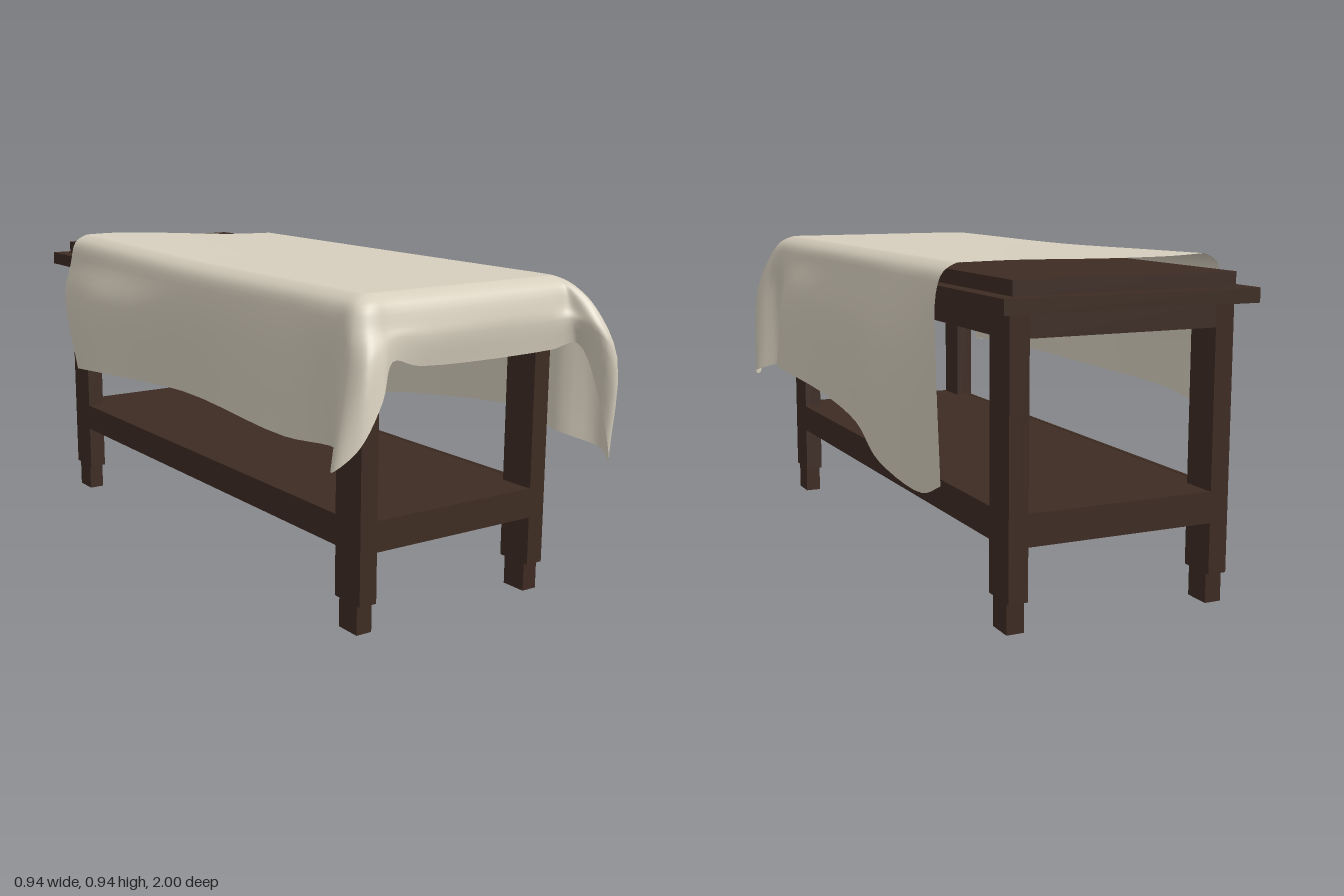
import * as THREE from 'three';
import { mergeGeometries } from 'three/addons/utils/BufferGeometryUtils.js';

const wood = new THREE.MeshStandardMaterial({ color: 0x3d2b22 });
wood.name = 'dark wood';
const linen = new THREE.MeshStandardMaterial({ color: 0xd6cebd, side: THREE.DoubleSide });
linen.name = 'cream linen';

// Box given by its min and max on each axis
function box(name, x0, x1, y0, y1, z0, z1) {
  const mesh = new THREE.Mesh(new THREE.BoxGeometry(x1 - x0, y1 - y0, z1 - z0), wood);
  mesh.position.set((x0 + x1) / 2, (y0 + y1) / 2, (z0 + z1) / 2);
  mesh.name = name;
  return mesh;
}

function createTable() {
  const table = new THREE.Group();
  table.name = 'table';
  const X0 = -0.315, X1 = 0.34, Z0 = -0.95, Z1 = 0.815, LX = 0.055, LZ = 0.112, T = 0.012;

  // Stepped tabletop
  table.add(box('tabletopLower', -0.36, 0.38, 0.82, 0.86, -1, 0.865));
  table.add(box('tabletopUpper', X0, 0.335, 0.86, 0.9, -0.955, 0.82));

  // Legs with narrower feet
  for (const x of [X0, X1 - LX]) {
    for (const z of [Z0, Z1 - LZ]) {
      table.add(box('leg', x, x + LX, 0.085, 0.82, z, z + LZ));
      table.add(box('foot', x + 0.003, x + LX - 0.003, 0, 0.085, z + 0.016, z + LZ - 0.016));
    }
  }

  // Upper aprons and lower rails, flush with the legs
  for (const [name, y0, y1] of [['apron', 0.755, 0.82], ['rail', 0.228, 0.315]]) {
    for (const x of [X0, X1 - T]) table.add(box(name + 'Side', x, x + T, y0, y1, Z0 + LZ, Z1 - LZ));
    for (const z of [Z0, Z1 - T]) table.add(box(name + 'End', X0 + LX, X1 - LX, y0, y1, z, z + T));
  }

  // Thin shelf between the rails
  table.add(box('shelf', X0 + T, X1 - T, 0.3, 0.314, Z0 + T, Z1 - T));
  return table;
}

// Folds of the cloth: x, z halfway down, then x, y, z of the hem
const FOLDS = [
  // left side, back to front
  [-0.41, -0.8, -0.4, 0.48, -0.735],
  [-0.425, -0.5, -0.43, 0.51, -0.48],
  [-0.395, 0, -0.385, 0.53, 0],
  [-0.4, 0.6, -0.41, 0.52, 0.6],
  [-0.385, 0.78, -0.37, 0.52, 0.78],
  // left front corner
  [-0.405, 0.87, -0.47, 0.5, 0.9],
  [-0.385, 0.92, -0.42, 0.56, 0.945],
  [-0.33, 0.915, -0.345, 0.67, 0.94],
  // front
  [-0.28, 0.895, -0.285, 0.757, 0.9],
  [-0.15, 0.89, -0.18, 0.732, 0.88],
  [0.27, 0.89, 0.28, 0.727, 0.88],
  // right front corner
  [0.335, 0.905, 0.36, 0.74, 0.9],
  [0.375, 0.985, 0.39, 0.58, 0.965],
  [0.415, 0.995, 0.43, 0.41, 0.97],
  [0.45, 0.9, 0.465, 0.43, 0.9],
  // right side, front to back
  [0.395, 0.79, 0.39, 0.47, 0.79],
  [0.445, 0.6, 0.468, 0.485, 0.62],
  [0.435, 0.2, 0.445, 0.455, 0.2],
  [0.435, -0.1, 0.435, 0.41, -0.1],
  [0.445, -0.35, 0.455, 0.34, -0.35],
  [0.425, -0.55, 0.41, 0.292, -0.56],
  [0.405, -0.645, 0.388, 0.325, -0.635],
];

// Flat part of the cloth, with its top lifting slightly towards the back left
const LEFT = -0.3, RIGHT = 0.32, FRONT = 0.8;
const topY = (x, z) => 0.922 + 0.02 * Math.max(0, -z) * (0.34 - x) / 0.66;

// Skirt hanging round three sides, lofted through curves running round the table
function skirtGeometry() {
  const { clamp, lerp } = THREE.MathUtils;
  const V = (x, y, z) => new THREE.Vector3(x, y, z);
  const rows = [[], [], [], [], [], []];
  for (const [mx, mz, hx, hy, hz] of FOLDS) {
    const core = V(clamp(mx, LEFT, RIGHT), 0, Math.min(mz, FRONT));
    const out = V(mx, 0, mz).sub(core);
    const reach = out.length();
    out.normalize();
    const k = 1 + 0.6 * Math.abs(out.x * out.z);
    const y = topY(core.x, core.z);
    const at = (distance, height) => core.clone().addScaledVector(out, distance).setY(height);
    rows[0].push(at(0.006, y));
    rows[1].push(at(0.024, y - 0.001));
    rows[2].push(at(Math.max(0.02 + 0.044 * k, 0.4 * reach), y - 0.025));
    rows[3].push(at(Math.max(0.02 + 0.064 * k, 0.7 * reach), 0.84));
    rows[4].push(V(mx, lerp(0.84, hy, 0.3), mz));
    rows[5].push(V(hx, hy, hz));
  }
  const curves = rows.map((r) => new THREE.CatmullRomCurve3(r));

  const N = (FOLDS.length - 1) * 5, M = 20, pos = [], index = [];
  for (let i = 0; i <= N; i++) {
    const section = new THREE.CatmullRomCurve3(curves.map((c) => c.getPoint(i / N)));
    for (let j = 0; j <= M; j++) {
      pos.push(...section.getPoint(j / M).toArray());
      if (i < N && j < M) {
        const a = i * (M + 1) + j, b = a + M + 1;
        index.push(a, a + 1, b, b, a + 1, b + 1);
      }
    }
  }
  const skirt = new THREE.BufferGeometry();
  skirt.setAttribute('position', new THREE.Float32BufferAttribute(pos, 3));
  skirt.setIndex(index);
  return skirt;
}

// Top panel with a wavy back edge
function panelGeometry() {
  const back = new THREE.SplineCurve([
    [-0.31, -0.805], [-0.2, -0.832], [-0.1, -0.81], [0, -0.765], [0.1, -0.7], [0.2, -0.655], [0.33, -0.645],
  ].map(([x, z]) => new THREE.Vector2(x, z)));
  const panel = new THREE.PlaneGeometry(1, 1, 30, 30).rotateX(-Math.PI / 2);
  const p = panel.attributes.position;
  for (let i = 0; i < p.count; i++) {
    const edge = back.getPoint(p.getX(i) + 0.5);
    const z = THREE.MathUtils.lerp(edge.y, FRONT + 0.01, p.getZ(i) + 0.5);
    p.setXYZ(i, edge.x, topY(edge.x, z), z);
  }
  panel.deleteAttribute('uv');
  panel.deleteAttribute('normal');
  return panel;
}

function createCloth() {
  const geometry = mergeGeometries([skirtGeometry(), panelGeometry()]);
  geometry.computeVertexNormals();
  const cloth = new THREE.Mesh(geometry, linen);
  cloth.name = 'tablecloth';
  return cloth;
}

export function createModel() {
  const model = new THREE.Group();
  model.name = 'drapedTable';
  model.add(createTable(), createCloth());
  return model;
}
